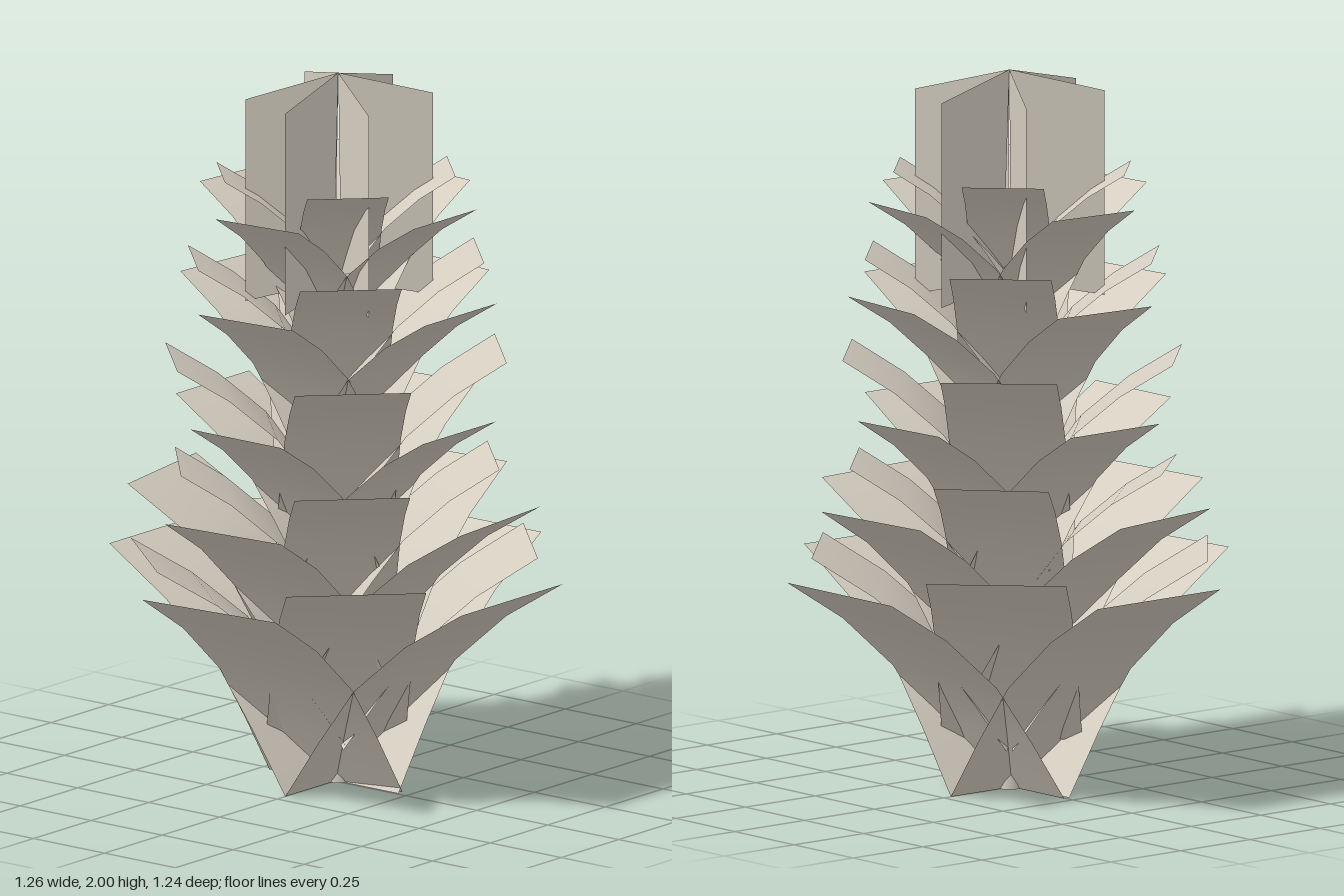
import * as THREE from 'three';

const rad = THREE.MathUtils.degToRad;

// Outward-curving leaf outline: [outward, up] as fractions of the reach
const CURVE = [[0, 0], [0.19, 0.28], [0.39, 0.55], [0.68, 0.8], [1, 1]];

// Constant-width strip that rises from the stem and bends outward along +x
function leafGeometry(reach, width) {
  const n = CURVE.length - 1;
  const geo = new THREE.PlaneGeometry(width, 1, 2, n);
  const pos = geo.attributes.position;
  for (let i = 0; i < pos.count; i++) {
    const [out, up] = CURVE[Math.round((pos.getY(i) + 0.5) * n)];
    pos.setXYZ(i, out * reach, up * reach * 0.99, pos.getX(i));
  }
  geo.computeVertexNormals();
  return geo;
}

// Tiers from the ground up: base height, reach, width, compass angles
// (0 = +x, 90 = +z)
const TIERS = [
  [0, 0.62, 0.44, [0, 90, 175, 270]],
  [0.135, 0.535, 0.385, [45, 135, 220, 315]],
  [0.275, 0.545, 0.385, [-4.5, 85.5, 175.5, 260]],
  [0.48, 0.433, 0.318, [45, 135, 228, 318]],
  [0.625, 0.435, 0.318, [-4, 90, 180, 270]],
  [0.762, 0.453, 0.32, [45, 135, 225, 315]],
  [0.955, 0.44, 0.315, [5, 90, 175, 275]],
  [1.1, 0.393, 0.28, [45, 135, 225, 315]],
  [1.27, 0.385, 0.275, [5, 90, 175, 275]],
  [1.415, 0.317, 0.225, [45, 135, 225, 315]],
];

export function createModel() {
  const model = new THREE.Group();
  model.name = 'plant';
  const beige = new THREE.MeshStandardMaterial({ color: 0xd4cdc0, side: THREE.DoubleSide });
  beige.name = 'paleLeaf';

  const add = (name, geo, x, y, angle = 0) => {
    const mesh = new THREE.Mesh(geo, beige);
    mesh.name = name;
    mesh.position.set(x, y, 0);
    mesh.rotation.y = -rad(angle);
    model.add(mesh);
  };

  // Stem
  const stemHeight = 1.46;
  add('stem', new THREE.CylinderGeometry(0.023, 0.034, stemHeight, 12), 0.015, stemHeight / 2);

  // Whorls of four leaves, alternating by an eighth of a turn
  TIERS.forEach(([base, reach, width, angles], i) => {
    const geo = leafGeometry(reach, width);
    angles.forEach((a) => add(`leafTier${i + 1}`, geo, 0.005, base, a));
  });

  // Upright crown blades fanned around the tip
  const blade = new THREE.ShapeGeometry(new THREE.Shape([
    new THREE.Vector2(0, 2),
    new THREE.Vector2(0.025, 1.41),
    new THREE.Vector2(0.26, 1.37),
    new THREE.Vector2(0.26, 1.94),
  ]));
  [-4, 48, 122, 175, 218, 300].forEach((a) => add('crownBlade', blade, 0.015, 0, a));

  return model;
}
